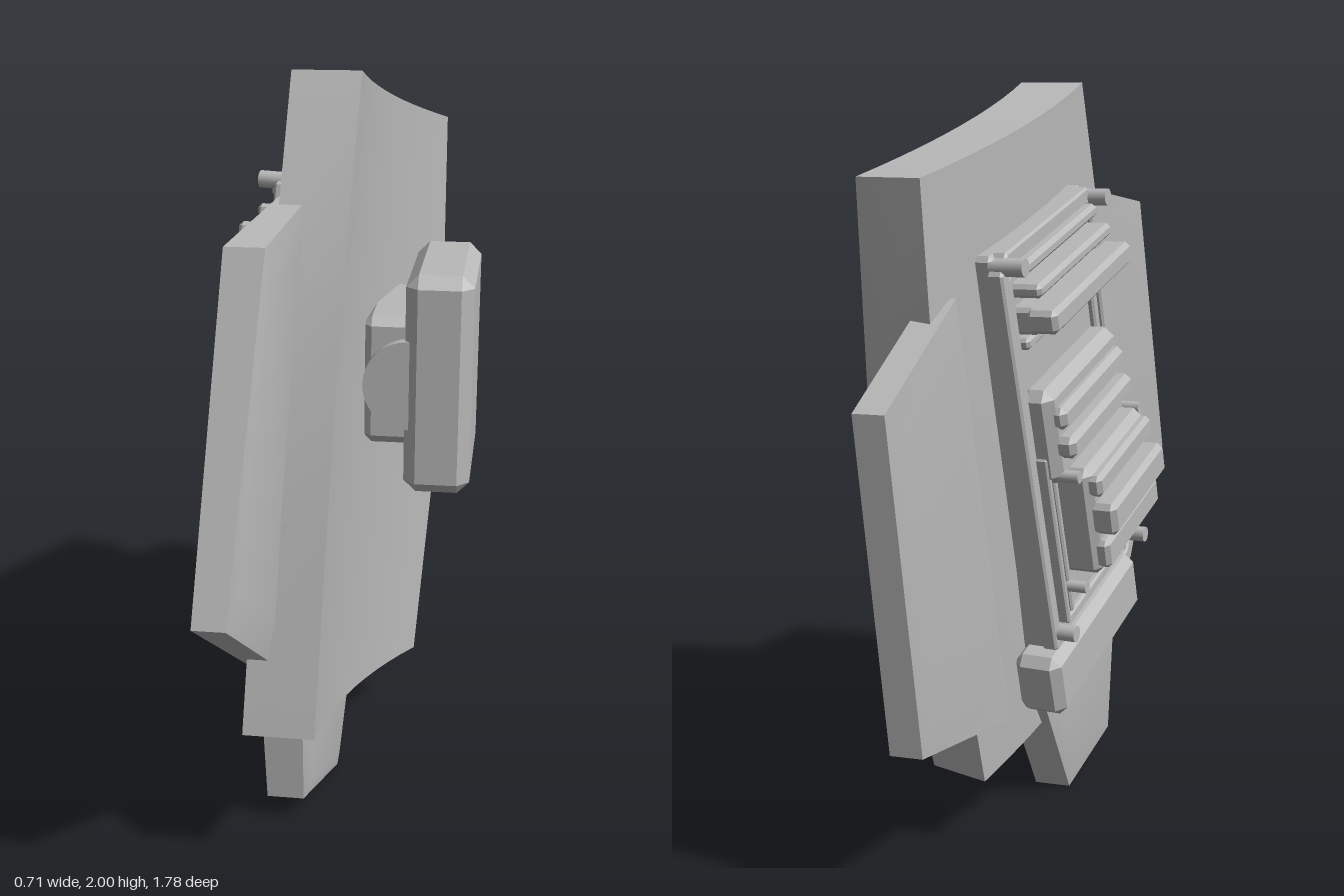
import * as THREE from 'three';
import { toCreasedNormals } from 'three/addons/utils/BufferGeometryUtils.js';
import { ConvexGeometry } from 'three/addons/geometries/ConvexGeometry.js';

const grey = new THREE.MeshStandardMaterial({ color: 0xb8b8b8 });
grey.name = 'armour grey';

function add(parent, name, geometry, x = 0, y = 0, z = 0) {
  const mesh = new THREE.Mesh(geometry, grey);
  mesh.name = name;
  mesh.position.set(x, y, z);
  parent.add(mesh);
  return mesh;
}

// Solid skinned through equal loops of [x, y, z], capped at both ends
function loft(loops) {
  const pos = [];
  const quad = (a, b, c, d) => [a, b, c, a, c, d].forEach(p => pos.push(...p));
  const m = loops[0].length;
  for (let k = 0; k < loops.length - 1; k++) {
    for (let i = 0; i < m; i++) {
      const j = (i + 1) % m;
      quad(loops[k][i], loops[k][j], loops[k + 1][j], loops[k + 1][i]);
    }
  }
  const first = loops[0], last = loops[loops.length - 1];
  for (let i = 0; i < m / 2 - 1; i++) {
    quad(last[i], last[i + 1], last[m - 2 - i], last[m - 1 - i]);
    quad(first[m - 1 - i], first[m - 2 - i], first[i + 1], first[i]);
  }
  const g = new THREE.BufferGeometry();
  g.setAttribute('position', new THREE.Float32BufferAttribute(pos, 3));
  return toCreasedNormals(g, 0.5);
}

// Fin with softly raised faces; corners are [z, y, outer x, inner x]
function finGeometry(corners) {
  const mid = [0, 1, 2, 3].map(k => corners.reduce((s, c) => s + c[k], 0) / 4);
  const ring = (column, inset, bump) => corners.map(c => {
    const p = c.map((v, k) => v + (mid[k] - v) * inset);
    return [p[column] + bump, p[1], p[0]];
  });
  return loft([ring(2, 0.2, -0.008), ring(2, 0, 0), ring(3, 0, 0), ring(3, 0.2, 0.012)]);
}

// Box with all edges chamfered
function chamferBox(w, h, d, c) {
  const pts = [];
  for (const i of [-1, 1]) for (const j of [-1, 1]) for (const k of [-1, 1]) {
    const X = w / 2, Y = h / 2, Z = d / 2;
    pts.push(new THREE.Vector3(i * X, j * (Y - c), k * (Z - c)));
    pts.push(new THREE.Vector3(i * (X - c), j * Y, k * (Z - c)));
    pts.push(new THREE.Vector3(i * (X - c), j * (Y - c), k * Z));
  }
  return new ConvexGeometry(pts);
}

function cutRect(path, w, h, c) {
  const x = w / 2, y = h / 2;
  path.moveTo(-x + c, -y);
  for (const [a, b] of [[x - c, -y], [x, -y + c], [x, y - c], [x - c, y], [-x + c, y], [-x, y - c], [-x, -y + c]]) path.lineTo(a, b);
  path.closePath();
  return path;
}

function frameGeometry(w, h, bar, depth) {
  const shape = cutRect(new THREE.Shape(), w, h, 0.04);
  shape.holes.push(cutRect(new THREE.Path(), w - 2 * bar, h - 2 * bar, 0.025));
  return new THREE.ExtrudeGeometry(shape, {
    depth, bevelEnabled: true, bevelSize: 0.006, bevelThickness: 0.006, bevelSegments: 1,
  });
}

// Curved main plate, lofted from bottom to top
function plateGeometry() {
  // front edge z, y; rear inner z, rear outer z, rear y; inner x, rise; outer x, rise
  const rows = [
    [0.65, 0.44, -0.30, -0.36, 0.20, 0.02, 0.17, -0.16, 0.19],
    [0.55, 0.97, -0.48, -0.53, 0.70, 0.04, 0.185, -0.135, 0.18],
    [0.41, 1.53, -0.60, -0.63, 1.25, 0.06, 0.178, -0.11, 0.17],
    [0.21, 2.00, -0.65, -0.69, 1.78, 0.08, 0.155, -0.09, 0.16],
  ];
  const n = 10;
  return loft(rows.map(([zf, yf, zi, zo, yr, xi, ri, xo, ro]) => {
    const inner = [], outer = [];
    for (let i = 0; i <= n; i++) {
      const t = i / n;
      const y = yf + (yr - yf) * t;
      inner.push([xi + ri * t * t, y, zf + (zi - zf) * t]);
      outer.unshift([xo + ro * t * t, y, zf + (zo - zf) * t]);
    }
    return [...inner, ...outer];
  }));
}

// Machinery on the outer face; local x runs forward, y up, z outward
function machinery() {
  const g = new THREE.Group();
  g.name = 'machineryPanel';
  const v = new THREE.Vector3(0.07, 0.965, -0.25).normalize();
  const n = new THREE.Vector3(-0.17, 0.25, 0.95).cross(v).normalize();
  const u = v.clone().cross(n);
  g.applyMatrix4(new THREE.Matrix4().makeBasis(u, v, n));
  g.position.set(-0.11, 1.117, -0.06);

  // each block: name, u min, u max, v min, v max, n min, n max, chamfer
  const blocks = [
    ['basePanel', -0.30, 0.27, -0.56, 0.57, -0.07, 0.015, 0.012],
    ['topRail', -0.23, 0.22, 0.50, 0.535, 0.01, 0.07, 0.01],
    ['topRail', -0.24, 0.23, 0.445, 0.48, 0.01, 0.10, 0.01],
    ['topBar', -0.28, 0.23, 0.37, 0.43, 0.07, 0.15, 0.012],
    ['topBarFoot', -0.24, 0.20, 0.35, 0.42, 0.01, 0.08, 0.01],
    ['topBarLedge', -0.24, 0.21, 0.31, 0.34, 0.01, 0.05, 0.008],
    ['middleHousing', -0.25, 0.21, -0.06, 0.20, 0.0, 0.09, 0.025],
    ['middleRidge', -0.23, 0.19, 0.09, 0.15, 0.07, 0.115, 0.015],
    ['middleRidge', -0.23, 0.19, 0.01, 0.07, 0.07, 0.13, 0.015],
    ['lowerHousing', -0.21, 0.19, -0.34, -0.03, 0.0, 0.15, 0.02],
    ['lowerRidge', -0.20, 0.18, -0.11, -0.05, 0.13, 0.175, 0.012],
    ['lowerRidge', -0.20, 0.18, -0.22, -0.13, 0.13, 0.205, 0.014],
    ['lowerRidge', -0.20, 0.18, -0.32, -0.24, 0.13, 0.175, 0.012],
    ['sideRail', -0.255, -0.235, -0.47, 0.02, 0.01, 0.06, 0.005],
    ['sideRail', -0.225, -0.205, -0.45, -0.02, 0.01, 0.06, 0.005],
    ['bottomBar', -0.37, 0.22, -0.70, -0.52, -0.07, 0.065, 0.025],
  ];
  for (const [name, a, b, c, d, e, f, r] of blocks) {
    add(g, name, chamferBox(b - a, d - c, f - e, r), (a + b) / 2, (c + d) / 2, (e + f) / 2);
  }
  add(g, 'outerFrame', frameGeometry(0.58, 1.12, 0.03, 0.03), -0.015, 0.005, 0.005);
  add(g, 'innerFrame', frameGeometry(0.50, 1.04, 0.02, 0.02), -0.015, 0.005, 0.005);

  // pegs: u, v, tip height, radius
  const pegs = [
    [0.25, 0.54, 0.09, 0.022], [-0.28, 0.54, 0.09, 0.022],
    [0.25, -0.48, 0.09, 0.022], [-0.28, -0.48, 0.09, 0.022],
    [0.215, -0.05, 0.13, 0.016], [-0.22, -0.04, 0.13, 0.016], [-0.22, -0.37, 0.11, 0.016],
  ];
  for (const [a, b, h, r] of pegs) {
    add(g, 'peg', new THREE.CylinderGeometry(r, r, h, 16), a, b, h / 2).rotation.x = Math.PI / 2;
  }
  return g;
}

export function createModel() {
  const model = new THREE.Group();
  model.name = 'armourPlate';
  add(model, 'mainPlate', plateGeometry());

  // Fins around the plate
  add(model, 'frontFin', finGeometry([
    [0.62, 1.66, -0.18, -0.085], [0.89, 0.85, -0.22, -0.14],
    [0.56, 0.59, -0.165, -0.09], [0.24, 1.715, -0.105, -0.035],
  ]));
  add(model, 'rearFin', finGeometry([
    [-0.58, 1.505, 0.025, 0.10], [-0.33, 0.37, -0.03, 0.05],
    [-0.76, 0.44, 0.063, 0.145], [-0.89, 1.29, 0.09, 0.165],
  ]));
  add(model, 'bottomFin', finGeometry([
    [0.40, 0.55, -0.165, -0.05], [0.36, 0.07, -0.155, -0.055],
    [0.07, 0, -0.10, 0], [-0.20, 0.44, -0.07, 0.03],
  ]));

  // Mounting bracket on the inner face
  const bracket = new THREE.Group();
  bracket.name = 'bracket';
  add(bracket, 'bracketPad', chamferBox(0.175, 0.59, 0.46, 0.032), 0.2725, 1.195, -0.07);
  add(bracket, 'bracketBlock', chamferBox(0.14, 0.35, 0.38, 0.025), 0.14, 1.195, -0.08);
  add(bracket, 'bracketPivot', new THREE.CylinderGeometry(0.12, 0.12, 0.34, 32), 0.195, 1.195, -0.03)
    .rotation.x = Math.PI / 2;
  model.add(bracket);

  model.add(machinery());
  return model;
}
